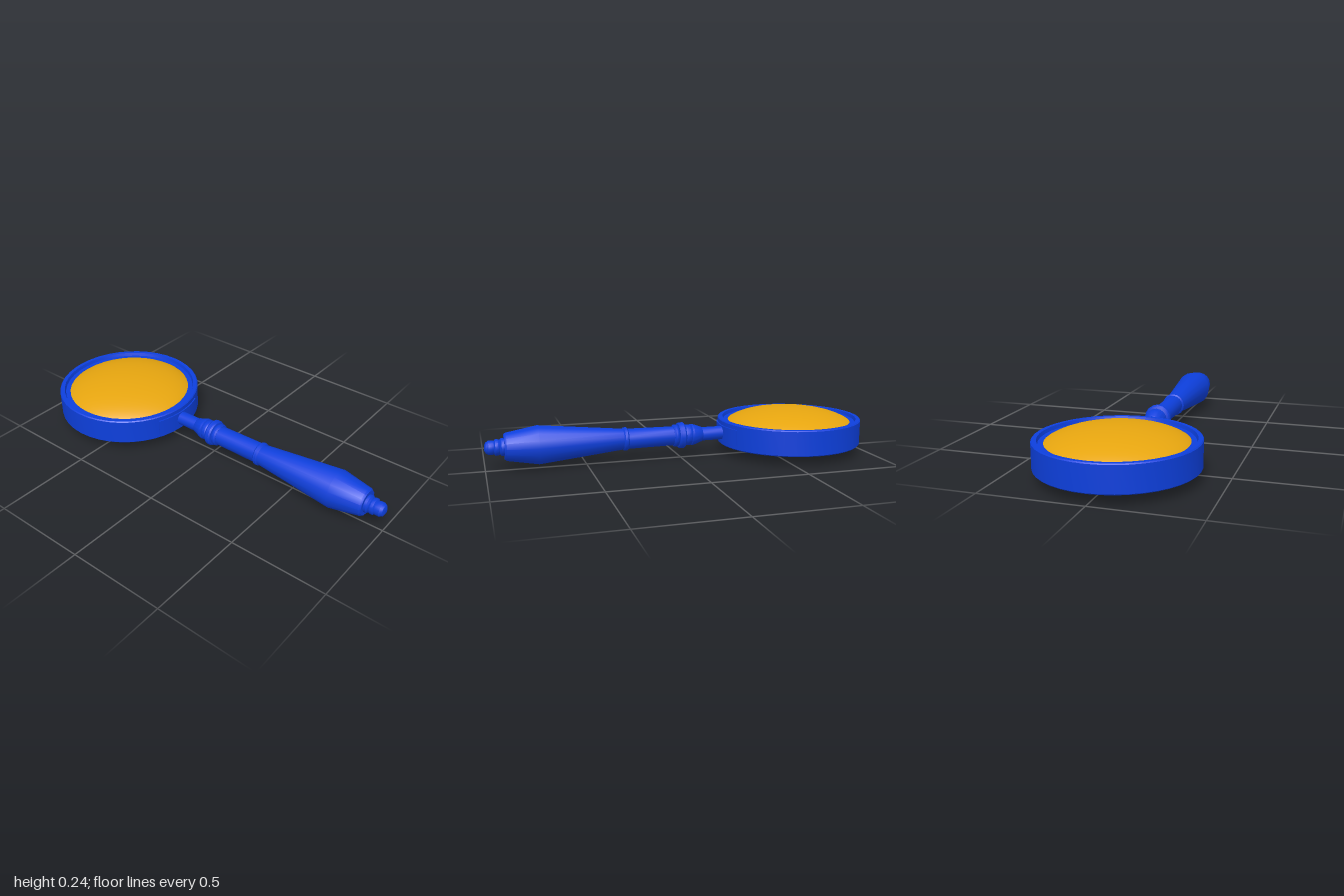
import * as THREE from 'three';
import { toCreasedNormals } from 'three/addons/utils/BufferGeometryUtils.js';

const MID_Y = 0.12;   // height of the handle axis and lens centre
const LENS_Z = -0.615;

export function createModel() {
  const model = new THREE.Group();
  model.name = 'magnifyingGlass';
  const blue = new THREE.MeshStandardMaterial({ color: 0x0d3fdc });
  blue.name = 'blue enamel';
  const amber = new THREE.MeshStandardMaterial({ color: 0xe6a50f });
  amber.name = 'amber glass';

  const add = (name, geometry, material, z) => {
    const mesh = new THREE.Mesh(geometry, material);
    mesh.name = name;
    mesh.position.set(0, MID_Y, z);
    model.add(mesh);
    return mesh;
  };
  const turned = (points, sides) => toCreasedNormals(
    new THREE.LatheGeometry(points.map(([r, h]) => new THREE.Vector2(r, h)), sides), 0.5);
  // Parts of the handle: profile is [radius, z], turned about the z axis
  const turnedAlongZ = (name, points) =>
    add(name, turned(points, 16).rotateX(Math.PI / 2), blue, 0);

  // Frame with a raised rim and an inner ledge on both faces
  add('frameRing', turned([
    [0.33, -0.05], [0.355, -0.05], [0.36, -0.067], [0.38, -0.067], [0.385, -0.062],
    [0.385, 0.062], [0.38, 0.067], [0.36, 0.067], [0.355, 0.05], [0.33, 0.05], [0.33, -0.05],
  ], 40), blue, LENS_Z);

  // Domed lens
  const lens = new THREE.SphereGeometry(1, 40, 24).scale(0.365, 0.118, 0.365);
  // Keep the hidden lens edge inside the frame
  const p = lens.attributes.position;
  for (let i = 0; i < p.count; i++) {
    const r = Math.hypot(p.getX(i), p.getZ(i));
    const k = Math.min(1, 0.345 / Math.max(r, 0.001));
    p.setXYZ(i, p.getX(i) * k, p.getY(i), p.getZ(i) * k);
  }
  add('lens', lens, amber, LENS_Z);

  // Curved mounting plate where the handle meets the frame
  const a = 0.392;
  const shape = new THREE.Shape();
  shape.absarc(0, 0, 0.391, -Math.PI / 2 - a, -Math.PI / 2 + a, false);
  shape.absarc(0, 0, 0.378, -Math.PI / 2 + a, -Math.PI / 2 - a, true);
  const plate = new THREE.ExtrudeGeometry(shape, { depth: 0.082, bevelEnabled: false, curveSegments: 10 });
  plate.translate(0, 0, -0.041).rotateX(-Math.PI / 2);
  add('mountingPlate', toCreasedNormals(plate, 0.5), blue, LENS_Z);

  // Neck and flared ferrule
  turnedAlongZ('neck', [[0, -0.25], [0.036, -0.25], [0.036, -0.115], [0.04, -0.11], [0.056, -0.065],
    [0.056, -0.055], [0.048, -0.05], [0, -0.05]]);

  // Collar beads
  turnedAlongZ('collar', [[0, -0.06], [0.05, -0.055], [0.055, -0.045], [0.055, -0.03], [0.05, -0.022],
    [0.063, -0.018], [0.069, -0.01], [0.069, 0.008], [0.063, 0.016], [0.055, 0.018],
    [0.059, 0.026], [0.059, 0.036], [0.052, 0.044], [0, 0.044]]);

  // Upper grip
  turnedAlongZ('upperGrip', [[0, 0.03], [0.05, 0.03], [0.053, 0.29], [0, 0.29]]);

  // Dividing ring
  turnedAlongZ('dividingRing', [[0, 0.285], [0.054, 0.285], [0.061, 0.292], [0.061, 0.305],
    [0.054, 0.312], [0, 0.312]]);

  // Swelling lower grip
  turnedAlongZ('lowerGrip', [[0, 0.305], [0.054, 0.305], [0.099, 0.74], [0.071, 0.895],
    [0.064, 0.905], [0, 0.905]]);

  // Stepped end knob
  turnedAlongZ('endKnob', [[0, 0.895], [0.045, 0.895], [0.045, 0.918], [0.037, 0.926],
    [0.041, 0.934], [0.041, 0.948], [0.034, 0.954], [0.036, 0.965], [0.036, 0.98],
    [0.028, 0.993], [0.014, 1.0], [0, 1.0]]);

  return model;
}
